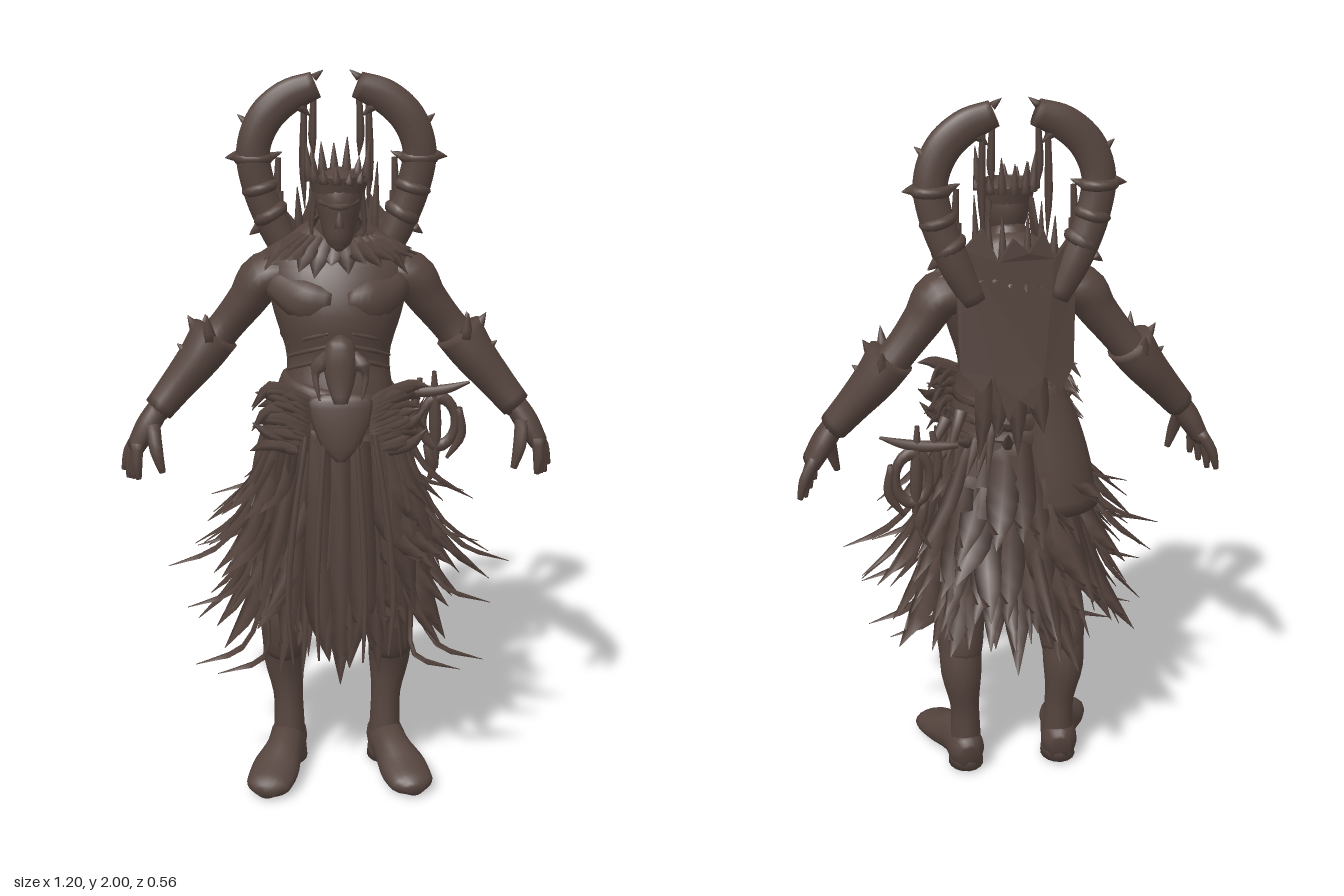
import * as THREE from 'three';
import { mergeGeometries } from 'three/addons/utils/BufferGeometryUtils.js';

const X = new THREE.Vector3(1, 0, 0), Y = new THREE.Vector3(0, 1, 0), Z = new THREE.Vector3(0, 0, 1);
let seed = 7;
const rnd = (a = 0, b = 1) => { seed = (seed * 16807) % 2147483647; return a + (b - a) * seed / 2147483647; };

// Smooth limb through points [x, y, z, radius along ref, radius across]
function limb(pts, ref = X, rings = 14, sides = 14, capped = true) {
  const pos = new THREE.CatmullRomCurve3(pts.map(p => new THREE.Vector3(p[0], p[1], p[2])));
  const rad = new THREE.CatmullRomCurve3(pts.map(p => new THREE.Vector3(p[3], p[4] ?? p[3], 0)));
  const v = [], idx = [];
  for (let i = 0; i <= rings; i++) {
    const t = i / rings, c = pos.getPoint(t), r = rad.getPoint(t), T = pos.getTangent(t);
    const A = ref.clone().addScaledVector(T, -T.dot(ref)).normalize(), B = T.clone().cross(A);
    for (let j = 0; j < sides; j++) {
      const a = j / sides * Math.PI * 2;
      const p = c.clone().addScaledVector(A, Math.cos(a) * Math.max(r.x, 0.001)).addScaledVector(B, Math.sin(a) * Math.max(r.y, 0.001));
      v.push(p.x, p.y, p.z);
      if (i < rings) {
        const k = i * sides + j, l = i * sides + (j + 1) % sides;
        idx.push(k, l, k + sides, l, l + sides, k + sides);
      }
    }
  }
  if (capped) for (const end of [0, 1]) {
    const c = pos.getPoint(end), m = v.length / 3, o = end * rings * sides;
    v.push(c.x, c.y, c.z);
    for (let j = 0; j < sides; j++) {
      const k = o + j, l = o + (j + 1) % sides;
      idx.push(m, end ? k : l, end ? l : k);
    }
  }
  const g = new THREE.BufferGeometry();
  g.setAttribute('position', new THREE.Float32BufferAttribute(v, 3));
  g.setIndex(idx);
  g.computeVertexNormals();
  return g;
}

// Flat pointed blade through three points, wide along ref
const blade = (a, b, c, w, ref) => limb([[...a, w * 0.7, 0.006], [...b, w, 0.007], [...c, 0.001, 0.001]], ref, 6, 4);
const spike = (a, b, r) => limb([[...a, r], [...a.map((n, i) => (n + b[i]) / 2), r * 0.6], [...b, 0.001]], Math.abs(b[0] - a[0]) > Math.abs(b[1] - a[1]) ? Z : X, 3, 6);

// Ring of hanging strips round the hips: boxy in front, round behind, shorter at the sides
function tier({ n, y0, len, top, end, w, from = 0, to = Math.PI * 2, z0 = 0.07, z1 = 0, curl = 0.4 }) {
  const out = [];
  for (let i = 0; i < n; i++) {
    const a = from + (to - from) * (i + rnd(0.1, 0.9)) / n, c = Math.cos(a), s = Math.sin(a);
    const sq = s > 0 ? s ** 0.6 : s, k = rnd(0.82, 1.1);
    const drop = len * rnd(0.65, 1.1) * (0.78 + 0.22 * Math.abs(s)), twist = rnd(-0.035, 0.035);
    const A = [top[0] * c, y0 + rnd(-0.03, 0.03), z0 + top[1] * sq];
    const C = [end[0] * c * k + twist, y0 - drop, z1 + end[1] * (s > 0 ? sq : s * k)];
    const B = [A[0] + (C[0] - A[0]) * curl, y0 - drop * 0.6, A[2] + (C[2] - A[2]) * curl];
    out.push(blade(A, B, C, w * rnd(0.55, 1.25), new THREE.Vector3(-s, 0, c)));
  }
  return mergeGeometries(out);
}

export function createModel() {
  const model = new THREE.Group();
  const bark = new THREE.MeshStandardMaterial({ color: 0x55443e, side: THREE.DoubleSide });
  bark.name = 'darkBrown';
  const add = (name, ...geos) => {
    const m = new THREE.Mesh(geos.length > 1 ? mergeGeometries(geos) : geos[0], bark);
    m.name = name;
    model.add(m);
  };

  // Torso, neck and head
  add('torso', limb([[0, 1.0, 0.065, 0.17, 0.13], [0, 1.15, 0.07, 0.15, 0.12], [0, 1.25, 0.055, 0.138, 0.105], [0, 1.37, 0.045, 0.17, 0.125],
    [0, 1.46, 0.025, 0.19, 0.115], [0, 1.53, 0.01, 0.16, 0.09], [0, 1.59, 0.03, 0.065, 0.055], [0, 1.63, 0.05, 0.048, 0.05]], X, 28, 24));
  add('ribs', ...[0, 1, 2].flatMap(i => [-1, 1].map(s => limb([[s * 0.03, 1.345 - i * 0.035, 0.163, 0.005], [s * 0.08, 1.33 - i * 0.035, 0.148, 0.006], [s * 0.135, 1.3 - i * 0.035, 0.09, 0.005]], Z, 8, 6))));
  add('pectorals', ...[-1, 1].map(s => limb([[s * 0.02, 1.42, 0.135, 0.025, 0.04], [s * 0.09, 1.425, 0.125, 0.03, 0.055], [s * 0.17, 1.46, 0.055, 0.03, 0.04]], Z, 8, 10)));
  add('head', limb([[0, 1.55, 0.112, 0.014, 0.014], [0, 1.575, 0.1, 0.034, 0.042], [0, 1.63, 0.08, 0.05, 0.064], [0, 1.69, 0.07, 0.062, 0.074],
    [0, 1.74, 0.065, 0.055, 0.062], [0, 1.765, 0.065, 0.012, 0.012]], X, 16, 18));
  add('nose', spike([0, 1.62, 0.14], [0, 1.68, 0.137], 0.013));
  add('brow', limb([[-0.05, 1.685, 0.11, 0.008], [0, 1.675, 0.142, 0.009], [0.05, 1.685, 0.11, 0.008]], Z, 8, 6));
  add('hair', ...[-1, 1].flatMap(s => [0, 1, 2].map(i => blade([s * 0.056, 1.72, 0.06 - i * 0.03], [s * 0.068, 1.64, 0.05 - i * 0.03], [s * (0.07 + i * 0.01), 1.55, 0.06 - i * 0.03], 0.02, Z))));

  // Crown
  const band = new THREE.CylinderGeometry(0.08, 0.07, 0.045, 24, 1, true);
  band.translate(0, 1.728, 0.068);
  const points = [];
  for (let i = 0; i < 15; i++) {
    const a = i / 15 * Math.PI * 2, c = Math.cos(a), s = Math.sin(a);
    points.push(spike([0.077 * c, 1.735, 0.068 + 0.077 * s], [0.086 * c, s > 0.6 ? rnd(1.755, 1.79) : rnd(1.76, 1.85), 0.068 + 0.083 * s], 0.014));
  }
  add('crownBand', band);
  add('crownPoints', ...points);

  // Mantle over the shoulders with a ragged hem
  const tufts = [];
  for (let i = 0; i < 30; i++) {
    const a = i / 30 * Math.PI * 2, c = Math.cos(a), s = Math.sin(a);
    tufts.push(blade([0.1 * c, 1.585, 0.02 + 0.075 * s], [0.17 * c, 1.545, 0.02 + 0.105 * s], [(0.205 + rnd(0, 0.025)) * c, rnd(1.48, 1.53), 0.015 + 0.13 * s], 0.028, new THREE.Vector3(-s, 0, c)));
  }
  add('mantle', limb([[0, 1.505, 0.015, 0.195, 0.118], [0, 1.545, 0.012, 0.18, 0.1], [0, 1.575, 0.012, 0.125, 0.08], [0, 1.61, 0.03, 0.065, 0.055]], X, 8, 28, false));
  add('mantleTufts', ...tufts);

  // Back board with ragged top and trailing tatters, leaning out at its foot
  const board = new THREE.Shape([[-0.12, 1.21], [-0.155, 1.28], [-0.16, 1.5], [-0.14, 1.63], [-0.1, 1.58], [-0.07, 1.66], [-0.03, 1.6], [0.01, 1.64], [0.05, 1.58], [0.09, 1.67], [0.14, 1.61], [0.16, 1.5], [0.155, 1.28], [0.1, 1.22], [0.07, 1.27], [0.03, 1.14], [0, 1.2], [-0.04, 1.17], [-0.07, 1.26]].map(p => new THREE.Vector2(...p)));
  const boardGeo = new THREE.ExtrudeGeometry(board, { depth: 0.018, bevelEnabled: false });
  const bp = boardGeo.attributes.position;
  for (let i = 0; i < bp.count; i++) bp.setZ(i, bp.getZ(i) - 0.128 + 0.05 * (bp.getY(i) - 1.2) + 1.1 * bp.getX(i) ** 2);
  boardGeo.computeVertexNormals();
  add('backBoard', boardGeo);
  add('backSpikes', ...[-0.1, -0.065, -0.03, 0.035, 0.07, 0.105].map(x => spike([x, 1.57, -0.08], [x * 1.05, rnd(1.66, 1.78), -0.075], 0.014)));
  add('backTatters', ...[-0.06, 0, 0.05, 0.09].map(x => blade([x, 1.28, -0.1], [x, 1.18, -0.1], [x * 1.2, rnd(1.02, 1.1), -0.11], 0.028, X)));

  for (const s of [-1, 1]) {
    const side = s > 0 ? 'left' : 'right';
    // Curved horn with collar, thorns and hanging shreds
    add(side + 'Horn', limb([[s * 0.11, 1.47, -0.075, 0.035, 0.036], [s * 0.165, 1.58, -0.075, 0.04, 0.045], [s * 0.207, 1.69, -0.07, 0.036, 0.046], [s * 0.222, 1.79, -0.065, 0.034, 0.046],
      [s * 0.19, 1.875, -0.062, 0.031, 0.048], [s * 0.13, 1.93, -0.062, 0.028, 0.046], [s * 0.055, 1.962, -0.062, 0.025, 0.036]], Z, 30, 14));
    add(side + 'HornCollars', ...[[0.222, 1.77, 0.056, 0.038], [0.205, 1.69, 0.052, 0.041], [0.178, 1.62, 0.052, 0.044]].map(([x, y, r, d], i) =>
      limb([[s * (x - i * 0.004), y - 0.014, -0.07, d - 0.003, r - 0.008], [s * x, y, -0.07, d + 0.003, r], [s * (x + i * 0.004), y + 0.014, -0.07, d - 0.003, r - 0.01]], Z, 4, 14)));
    add(side + 'HornThorns', spike([s * 0.26, 1.775, -0.068], [s * 0.297, 1.77, -0.068], 0.018), spike([s * 0.235, 1.86, -0.065], [s * 0.262, 1.885, -0.065], 0.014),
      spike([s * 0.18, 1.77, -0.068], [s * 0.145, 1.785, -0.068], 0.014), spike([s * 0.21, 1.58, -0.075], [s * 0.235, 1.56, -0.075], 0.016), spike([s * 0.1, 1.91, -0.062], [s * 0.07, 1.88, -0.062], 0.016), spike([s * 0.06, 1.98, -0.062], [s * 0.035, 2.0, -0.062], 0.012));
    add(side + 'HornShreds', ...[[0.06, 1.93, 1.77], [0.085, 1.92, 1.63], [0.15, 1.68, 1.55], [0.155, 1.77, 1.6]].map(([x, a, b]) => blade([s * x, a, -0.065], [s * (x + 0.004), (a + b) / 2 - 0.02, -0.065], [s * x, b, -0.068], 0.011, X)));

    // Arm, forearm guard and hand
    add(side + 'Arm', limb([[s * 0.13, 1.475, 0.005, 0.075, 0.055], [s * 0.195, 1.465, 0.003, 0.08, 0.064], [s * 0.242, 1.4, -0.002, 0.066, 0.054], [s * 0.305, 1.32, -0.01, 0.052, 0.048],
      [s * 0.365, 1.25, -0.005, 0.058, 0.05], [s * 0.44, 1.16, 0.01, 0.045, 0.042], [s * 0.495, 1.09, 0.025, 0.036, 0.032]], Z, 24, 16));
    add(side + 'ForearmGuard', limb([[s * 0.33, 1.305, -0.008, 0.067, 0.068], [s * 0.37, 1.245, -0.002, 0.068, 0.06], [s * 0.44, 1.16, 0.012, 0.053, 0.048], [s * 0.49, 1.1, 0.025, 0.047, 0.042]], Z, 10, 16));
    add(side + 'GuardSpikes', spike([s * 0.365, 1.29, 0], [s * 0.405, 1.355, -0.005], 0.03), spike([s * 0.345, 1.3, 0.045], [s * 0.35, 1.37, 0.06], 0.02), spike([s * 0.36, 1.28, -0.05], [s * 0.36, 1.34, -0.075], 0.022), spike([s * 0.4, 1.25, 0.01], [s * 0.435, 1.28, 0.01], 0.02));
    const fingers = [0, 1, 2, 3].map(i => limb([[s * 0.547, 1.02, -0.012 + i * 0.03, 0.016, 0.017], [s * (0.579 - i * 0.01), 0.965, -0.022 + i * 0.036, 0.015], [s * (0.594 - i * 0.016), 0.9 + Math.abs(i - 1) * 0.01, -0.024 + i * 0.037, 0.008]], Z, 6, 8));
    add(side + 'Hand', limb([[s * 0.485, 1.11, 0.025, 0.034, 0.03], [s * 0.52, 1.055, 0.03, 0.05, 0.033], [s * 0.555, 0.995, 0.034, 0.058, 0.026]], Z, 8, 12),
      limb([[s * 0.505, 1.065, 0.06, 0.021], [s * 0.495, 1.0, 0.088, 0.018], [s * 0.48, 0.94, 0.095, 0.009]], Z, 6, 8), ...fingers);

    // Leg, knee guard and boot
    add(side + 'Leg', limb([[s * 0.1, 0.95, 0.04, 0.09, 0.11], [s * 0.12, 0.75, 0.035, 0.092, 0.105], [s * 0.14, 0.55, 0.025, 0.075, 0.083], [s * 0.15, 0.45, 0.005, 0.064, 0.075],
      [s * 0.152, 0.33, -0.025, 0.06, 0.068], [s * 0.142, 0.2, -0.02, 0.042, 0.052], [s * 0.14, 0.1, -0.015, 0.045, 0.056], [s * 0.14, 0.01, -0.015, 0.052, 0.062]], X, 26, 16));
    add(side + 'KneeGuard', limb([[s * 0.152, 0.37, -0.013, 0.061, 0.073], [s * 0.15, 0.42, 0.0, 0.068, 0.083], [s * 0.146, 0.49, 0.018, 0.071, 0.083], [s * 0.144, 0.53, 0.025, 0.067, 0.075]], X, 8, 16));
    const foot = limb([[s * 0.135, 0.055, -0.078, 0.03, 0.045], [s * 0.14, 0.065, -0.04, 0.053, 0.066], [s * 0.155, 0.065, 0.05, 0.053, 0.063], [s * 0.185, 0.044, 0.14, 0.069, 0.046], [s * 0.205, 0.032, 0.205, 0.062, 0.034], [s * 0.212, 0.026, 0.236, 0.024, 0.018]], X, 18, 16);
    const fp = foot.attributes.position;
    for (let i = 0; i < fp.count; i++) fp.setY(i, Math.max(0, fp.getY(i)));
    foot.computeVertexNormals();
    add(side + 'Foot', foot);

    // Feather tufts beside the buckle
    const tuft = [];
    for (let i = 0; i < 20; i++) {
      const t = i / 19, y = 1.04 + 0.15 * t, x = rnd(0.17, 0.24);
      tuft.push(blade([s * 0.08, y - 0.02, 0.19], [s * (x - 0.05), y + 0.02 * t, 0.19], [s * x, y + rnd(-0.05, 0.05), rnd(0.07, 0.2)], 0.016, Y));
    }
    add(side + 'WaistTuft', ...tuft);
  }

  // Belt wraps, hip cloth, buckle shield and mask
  add('beltWraps', ...[1.06, 1.11, 1.16].map((y, i) => limb([[0, y - 0.03, 0.065, 0.165 - i * 0.004, 0.13], [-0.005, y, 0.065, 0.174 - i * 0.007, 0.138], [0, y + 0.03, 0.065, 0.16 - i * 0.006, 0.127]], X, 5, 24)));
  add('hipCloth', limb([[-0.13, 0.82, 0.0, 0.12, 0.105], [-0.12, 0.95, 0.01, 0.11, 0.105], [-0.09, 1.08, 0.03, 0.1, 0.105], [-0.05, 1.17, 0.04, 0.09, 0.1]], X, 10, 18));
  add('hipSpikes', ...[0, 1, 2, 3, 4, 5, 6, 7, 8].map(i => spike([0.02 + i * 0.02, rnd(1.04, 1.14), -0.06 + i * 0.008], [0.03 + i * 0.028, rnd(0.95, 1.15), -0.13 + i * 0.01], 0.018)));
  add('buckle', limb([[0, 1.01, 0.225, 0.012, 0.01], [0, 1.05, 0.218, 0.05, 0.022], [0, 1.12, 0.21, 0.078, 0.025], [0, 1.17, 0.205, 0.085, 0.02], [0, 1.19, 0.2, 0.05, 0.01]], X, 12, 14));
  add('mask', limb([[0, 1.17, 0.225, 0.018, 0.012], [0, 1.22, 0.205, 0.036, 0.025], [0, 1.28, 0.19, 0.046, 0.035], [0, 1.325, 0.185, 0.036, 0.03], [0, 1.345, 0.18, 0.008, 0.008]], X, 12, 12));
  add('maskHorns', ...[-1, 1].map(s => limb([[s * 0.035, 1.3, 0.19, 0.012], [s * 0.065, 1.25, 0.205, 0.012], [s * 0.055, 1.18, 0.225, 0.003]], Z, 8, 6)));

  // Skirt core with layered strips
  add('skirt', limb([[0, 0.62, 0.04, 0.24, 0.15], [0, 0.74, 0.04, 0.238, 0.155], [0, 0.88, 0.05, 0.215, 0.148], [0, 1.04, 0.068, 0.178, 0.136]], X, 12, 28, false));
  add('upperStrips', tier({ n: 30, y0: 1.06, len: 0.32, top: [0.172, 0.132], end: [0.33, 0.195], w: 0.04, z1: 0.025 }));
  add('middleStrips', tier({ n: 36, y0: 0.92, len: 0.36, top: [0.208, 0.143], end: [0.4, 0.22], w: 0.042, z0: 0.05, z1: 0 }));
  add('lowerStrips', tier({ n: 34, y0: 0.76, len: 0.34, top: [0.235, 0.15], end: [0.37, 0.22], w: 0.04, z0: 0.04, z1: 0 }));
  add('backFeathers', tier({ n: 20, y0: 0.84, len: 0.36, top: [0.2, 0.14], end: [0.3, 0.29], w: 0.032, from: Math.PI * 1.08, to: Math.PI * 1.92, z0: 0.045 }));
  add('frontStrips', tier({ n: 20, y0: 1.04, len: 0.62, top: [0.18, 0.13], end: [0.31, 0.185], w: 0.036, from: Math.PI * 0.12, to: Math.PI * 0.88, z0: 0.075, z1: 0.035, curl: 0.6 }));
  add('frontPanel', ...[[-0.05, 0.42], [0, 0.35], [0.05, 0.44]].map(([x, y]) => blade([x, 1.06, 0.21], [x * 1.1, 0.6, 0.218], [x * 0.6, y, 0.21], 0.042, X)));
  add('frontCords', ...[-0.13, -0.06, 0.06, 0.13].map(x => limb([[x * 0.7, 1.08, 0.22, 0.007], [x, 0.8, 0.235, 0.009], [x * 1.1, 0.6, 0.24, 0.008], [x, rnd(0.36, 0.5), 0.25, 0.003]], X, 10, 6)));
  add('sideBarbs', ...[-1, 1].flatMap(s => [[0.39, 0.72, 0.08], [0.47, 0.68, 0.13], [0.42, 0.56, 0.14], [0.4, 0.4, 0.17], [0.34, 0.36, 0.15], [0.35, 0.86, 0.05]].map(([x, y, z]) =>
    blade([s * 0.2, y + 0.2, z * 0.6 + 0.04], [s * (x - 0.13), y + 0.05, z], [s * x, y, z], 0.024, Z))));

  // Hooked charm hanging behind the left hip
  const ring = new THREE.TorusGeometry(0.048, 0.013, 8, 20);
  ring.deleteAttribute('uv');
  ring.scale(1, 1.5, 1);
  ring.translate(0.295, 1.0, -0.14);
  add('hipCharm', ring,
    limb([[0.28, 1.15, -0.14, 0.006], [0.285, 1.0, -0.14, 0.018], [0.29, 0.86, -0.14, 0.006]], X, 8, 8),
    limb([[0.17, 1.09, -0.15, 0.008], [0.26, 1.09, -0.14, 0.017], [0.32, 1.1, -0.135, 0.014], [0.38, 1.12, -0.13, 0.004]], Z, 10, 8),
    limb([[0.24, 1.13, -0.14, 0.008], [0.225, 1.03, -0.14, 0.014], [0.25, 0.95, -0.14, 0.006]], Z, 8, 8),
    limb([[0.35, 1.04, -0.14, 0.012], [0.36, 0.96, -0.14, 0.014], [0.32, 0.89, -0.14, 0.005]], Z, 8, 8),
    limb([[0.26, 0.93, -0.14, 0.01], [0.28, 0.85, -0.145, 0.01], [0.25, 0.79, -0.15, 0.003]], Z, 6, 6));

  return model;
}
